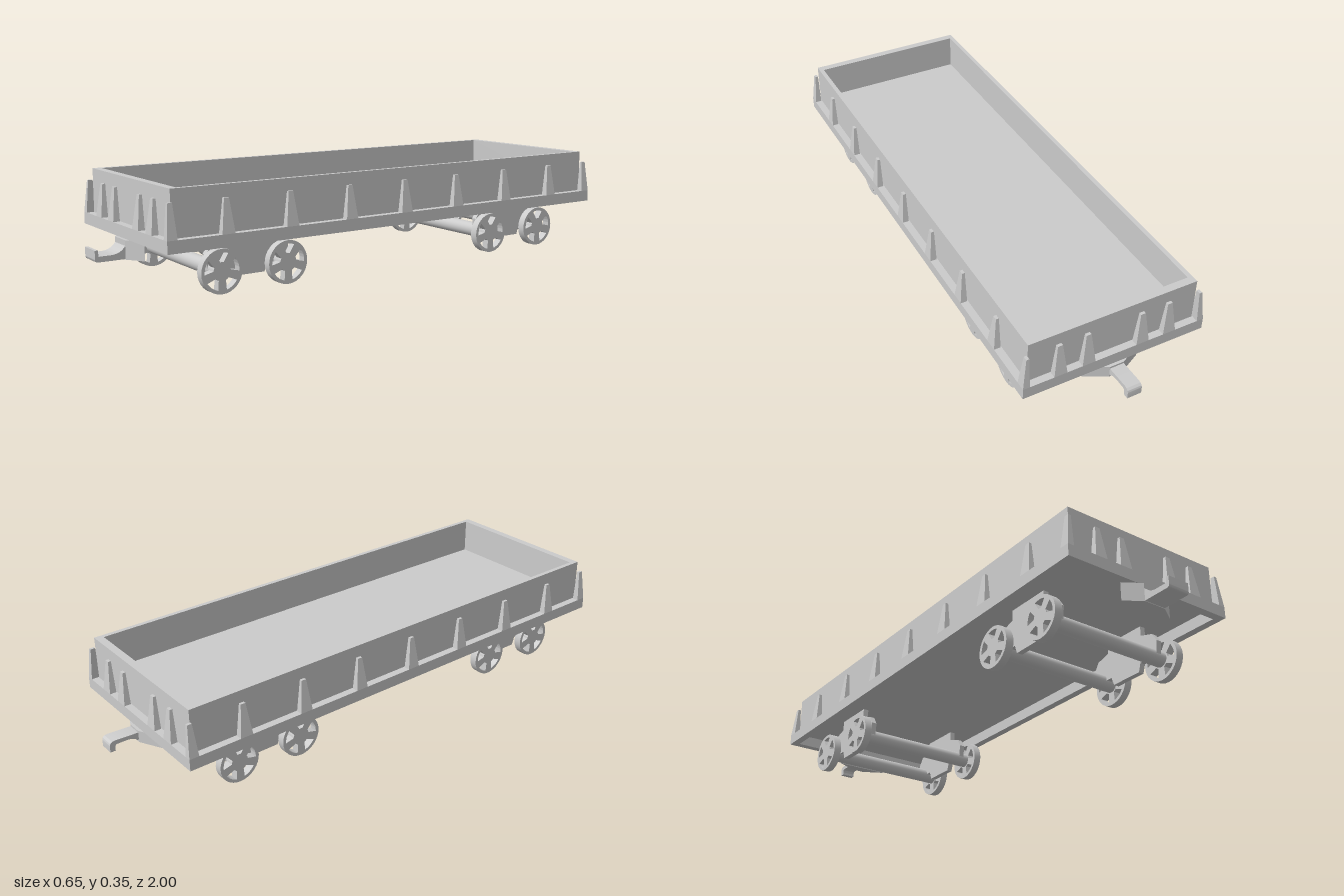
import * as THREE from 'three';
import { toCreasedNormals } from 'three/addons/utils/BufferGeometryUtils.js';

const material = new THREE.MeshStandardMaterial({ color: 0xcccccc });

function add(parent, name, geometry, x = 0, y = 0, z = 0) {
  const mesh = new THREE.Mesh(geometry, material);
  mesh.name = name;
  mesh.position.set(x, y, z);
  parent.add(mesh);
  return mesh;
}

// Box whose top is w1 x d1 and bottom w0 x d0; the inner face stays at z = 0
function taperedPost(w0, w1, d0, d1, h) {
  const g = new THREE.BoxGeometry(1, h, 1).translate(0, h / 2, 0.5);
  const p = g.attributes.position;
  for (let i = 0; i < p.count; i++) {
    const top = p.getY(i) > h / 2;
    p.setX(i, p.getX(i) * (top ? w1 : w0));
    p.setZ(i, p.getZ(i) * (top ? d1 : d0));
  }
  g.computeVertexNormals();
  return g;
}

const rectangle = (x, z, Type = THREE.Shape) =>
  new Type([[-x, -z], [x, -z], [x, z], [-x, z]].map(([a, b]) => new THREE.Vector2(a, b)));

// Upright rectangular ring
function ring(x, z, innerX, innerZ, height) {
  const shape = rectangle(x, z);
  shape.holes.push(rectangle(innerX, innerZ, THREE.Path));
  return new THREE.ExtrudeGeometry(shape, { depth: height, bevelEnabled: false }).rotateX(-Math.PI / 2);
}

// Shape drawn in (z, y), extruded across x and centred
function sideExtrude(shape, width) {
  const g = new THREE.ExtrudeGeometry(shape, { depth: width, bevelEnabled: false, curveSegments: 16 });
  g.translate(0, 0, -width / 2).rotateY(-Math.PI / 2);
  return toCreasedNormals(g, 0.6);
}

// Disc wheel with five wedge openings between the spokes
function wheelGeometry(r, width) {
  const shape = new THREE.Shape().absarc(0, 0, r, 0, Math.PI * 2);
  for (let i = 0; i < 5; i++) {
    const a = (i + 0.25) * Math.PI * 0.4, hole = new THREE.Path();
    hole.absarc(0, 0, r * 0.84, a - 0.38, a + 0.38, false);
    hole.absarc(0, 0, r * 0.42, a + 0.2, a - 0.2, true);
    hole.closePath();
    shape.holes.push(hole);
  }
  return sideExtrude(shape, width);
}

function polygon(points) {
  return new THREE.Shape(points.map(([a, b]) => new THREE.Vector2(a, b)));
}

// Coupler mount, narrowing outward in plan
function mountGeometry(wide, narrow, z0, z1, height) {
  const shape = polygon([[-wide, -z0], [-narrow, -z1], [narrow, -z1], [wide, -z0]]);
  return new THREE.ExtrudeGeometry(shape, { depth: height, bevelEnabled: false }).rotateX(-Math.PI / 2);
}

export function createModel() {
  const model = new THREE.Group();
  model.name = 'flatWagon';

  // Open body
  add(model, 'underframe', ring(0.323, 0.89, 0.295, 0.862, 0.04), 0, 0.16);
  add(model, 'floor', new THREE.BoxGeometry(0.594, 0.025, 1.73), 0, 0.2125);
  add(model, 'walls', ring(0.297, 0.865, 0.281, 0.838, 0.15), 0, 0.2);

  // Stakes along sides, ends and corners
  const stakes = new THREE.Group();
  stakes.name = 'stakes';
  model.add(stakes);
  const post = taperedPost(0.045, 0.017, 0.023, 0.01, 0.11);
  const cornerPost = taperedPost(0.034, 0.016, 0.023, 0.01, 0.11);
  for (const s of [-1, 1]) {
    for (let k = -3; k <= 3; k++) {
      add(stakes, 'sideStake', post, s * 0.3, 0.2, k * 0.2286).rotation.y = s * Math.PI / 2;
    }
    for (const x of [-0.194, -0.096, 0.096, 0.194]) {
      add(stakes, 'endStake', post, x, 0.2, s * 0.867).rotation.y = s > 0 ? 0 : Math.PI;
    }
    for (const z of [-0.873, 0.873]) {
      add(stakes, 'cornerStake', cornerPost, s * 0.3, 0.2, z).rotation.y = s * Math.PI / 2;
    }
  }

  // Two bogies, each with two axles and two side plates
  const wheel = wheelGeometry(0.072, 0.028);
  const axle = new THREE.CylinderGeometry(0.026, 0.026, 0.472, 24).rotateZ(Math.PI / 2);
  const plate = sideExtrude(polygon([
    [-0.06, 0.04], [0.06, 0.04], [0.07, 0.07], [0.145, 0.07], [0.15, 0.12], [0.13, 0.15], [0.08, 0.165], [0.08, 0.2],
    [-0.08, 0.2], [-0.08, 0.165], [-0.13, 0.15], [-0.15, 0.12], [-0.145, 0.07], [-0.07, 0.07],
  ]), 0.02);
  for (const end of [-1, 1]) {
    const bogie = new THREE.Group();
    bogie.name = end > 0 ? 'frontBogie' : 'rearBogie';
    bogie.position.z = end * 0.56;
    model.add(bogie);
    for (const z of [-0.12, 0.12]) {
      add(bogie, 'axle', axle, 0, 0.072, z);
      for (const s of [-1, 1]) add(bogie, 'wheel', wheel, s * 0.249, 0.072, z);
    }
    for (const s of [-1, 1]) add(bogie, 'sidePlate', plate, s * 0.203);
  }

  // Front coupler: tray with an upturned lip
  const front = new THREE.Shape();
  front.moveTo(0.89, 0.1);
  front.lineTo(0.99, 0.1);
  front.quadraticCurveTo(1, 0.1, 1, 0.11);
  front.lineTo(1, 0.138);
  front.lineTo(0.99, 0.138);
  front.lineTo(0.988, 0.118);
  front.lineTo(0.945, 0.118);
  front.quadraticCurveTo(0.915, 0.12, 0.9, 0.142);
  front.lineTo(0.89, 0.142);
  add(model, 'frontMount', mountGeometry(0.1, 0.04, 0.862, 0.9, 0.062), 0, 0.098);
  add(model, 'frontHook', sideExtrude(front, 0.08));

  // Rear coupler: arm with a downturned tip
  const rear = new THREE.Shape();
  rear.moveTo(0.89, 0.128);
  rear.lineTo(0.905, 0.128);
  rear.quadraticCurveTo(0.92, 0.143, 0.945, 0.142);
  rear.lineTo(0.975, 0.142);
  rear.quadraticCurveTo(0.984, 0.14, 0.982, 0.12);
  rear.lineTo(1, 0.12);
  rear.lineTo(1, 0.143);
  rear.quadraticCurveTo(0.998, 0.157, 0.98, 0.157);
  rear.lineTo(0.89, 0.153);
  const rearCoupler = new THREE.Group();
  rearCoupler.name = 'rearCoupler';
  rearCoupler.rotation.y = Math.PI;
  model.add(rearCoupler);
  add(rearCoupler, 'rearMount', mountGeometry(0.1, 0.025, 0.862, 0.9, 0.042), 0, 0.118);
  add(rearCoupler, 'rearHook', sideExtrude(rear, 0.05));

  return model;
}
